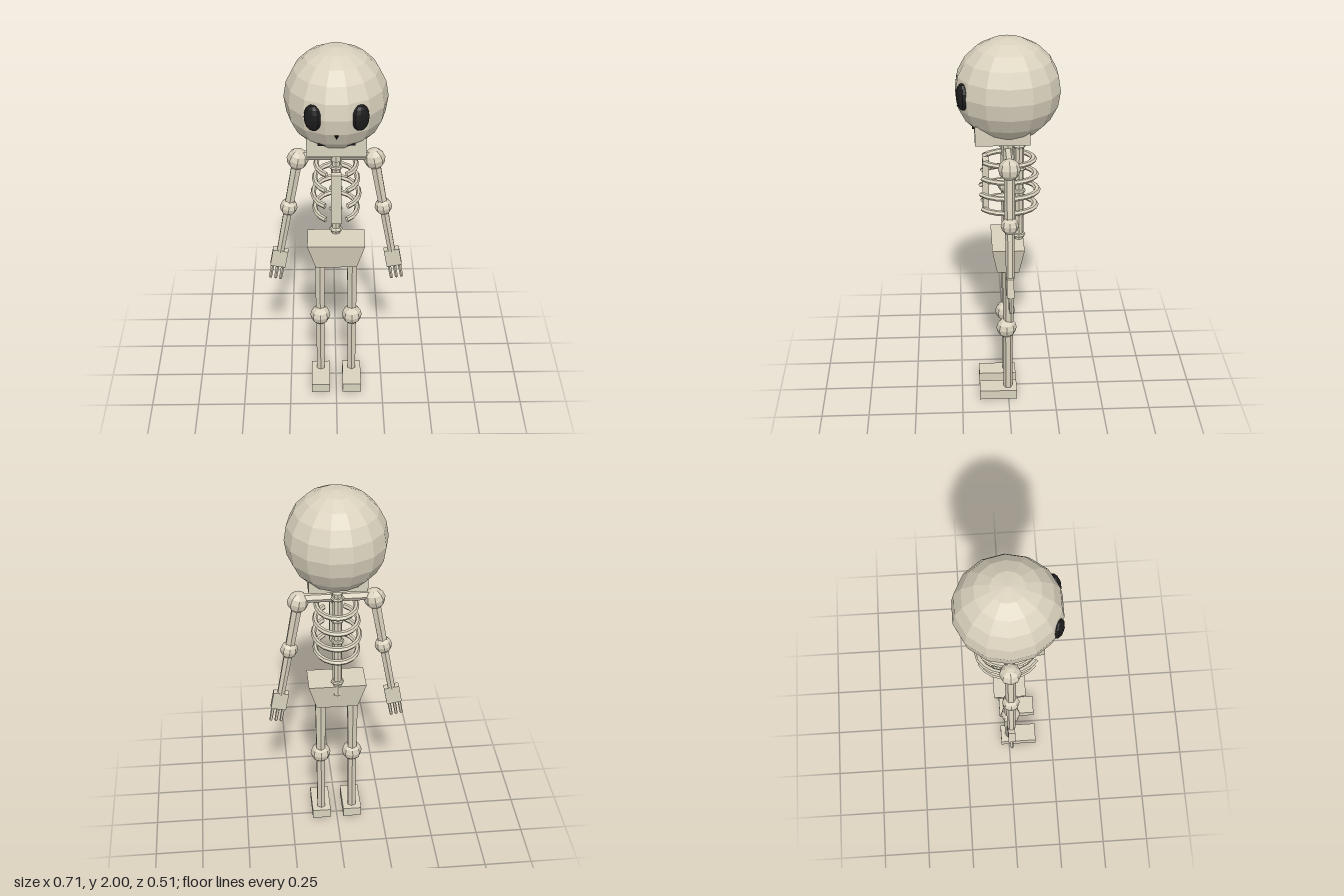
import * as THREE from 'three';

export function createModel() {
  const root = new THREE.Group();
  root.name = 'skeleton';
  const bone = new THREE.MeshStandardMaterial({ color: 0xd9d1bd, flatShading: true, side: THREE.DoubleSide });
  bone.name = 'bone';
  const dark = new THREE.MeshStandardMaterial({ color: 0x1c1c1c, flatShading: true });
  dark.name = 'dark socket';

  const add = (parent, name, geometry, x, y, z, material = bone) => {
    const mesh = new THREE.Mesh(geometry, material);
    mesh.name = name;
    mesh.position.set(x, y, z);
    parent.add(mesh);
    return mesh;
  };
  const box = (w, h, d) => new THREE.BoxGeometry(w, h, d);
  const rod = (top, bottom, length, sides = 6) => new THREE.CylinderGeometry(top, bottom, length, sides);
  const ball = (r, w = 8, h = 6) => new THREE.SphereGeometry(r, w, h);
  const group = (name, parent = root) => {
    const g = new THREE.Group();
    g.name = name;
    parent.add(g);
    return g;
  };

  // Head: faceted skull, block jaw and dark face details
  const head = group('head');
  add(head, 'skull', ball(1, 14, 10).scale(0.253, 0.257, 0.262), 0, 1.743, 0);
  add(head, 'jaw', box(0.29, 0.1, 0.27), 0, 1.55, 0.03);
  for (const s of [1, -1]) {
    const eye = add(head, s > 0 ? 'leftEye' : 'rightEye', ball(1, 10, 8).scale(0.046, 0.068, 0.028), s * 0.112, 1.744, 0.222, dark);
    eye.rotation.y = s * 0.45;
  }
  add(head, 'nose', new THREE.ConeGeometry(0.012, 0.022, 4).rotateX(Math.PI), 0, 1.648, 0.238, dark);
  add(head, 'mouth', box(0.18, 0.012, 0.015), 0, 1.574, 0.169, dark);

  // Torso: neck, spine with vertebrae, collarbone, sternum
  const torso = group('torso');
  add(torso, 'neck', rod(0.032, 0.032, 0.13, 8), 0, 1.455, 0);
  add(torso, 'spine', rod(0.024, 0.024, 0.61, 8), 0, 1.165, -0.057);
  for (let i = 0; i < 5; i++) {
    add(torso, 'vertebra', ball(1).scale(0.035, 0.018, 0.035), 0, 0.94 + i * 0.125, -0.057);
  }
  add(torso, 'collarbone', rod(0.025, 0.025, 0.38).rotateZ(Math.PI / 2), 0, 1.415, 0);
  add(torso, 'sternum', box(0.052, 0.28, 0.032), 0, 1.23, 0.111);

  // Ribs: hoops left open at the front
  const gap = 0.5;
  [0.1, 0.108, 0.116, 0.108].forEach((r, i) => {
    const hoop = new THREE.TorusGeometry(r, 0.0135, 6, 16, Math.PI * 2 - gap * 2)
      .rotateZ(Math.PI / 2 + gap).rotateX(Math.PI / 2).scale(1, 1, 1.3);
    add(torso, 'rib', hoop, 0, 1.368 - i * 0.085, 0);
  });

  // Pelvis: box narrowed toward its underside
  const pelvis = box(0.298, 0.147, 0.165);
  const p = pelvis.attributes.position;
  for (let i = 0; i < p.count; i++) {
    if (p.getY(i) < 0) p.setXYZ(i, p.getX(i) * 0.72, p.getY(i), p.getZ(i) * 0.68);
  }
  add(torso, 'pelvis', pelvis, 0, 0.846, 0.002);

  for (const s of [1, -1]) {
    const side = s > 0 ? 'left' : 'right';

    // Arm: hangs along its own -y axis and swings outward from the shoulder
    const arm = group(side + 'Arm');
    arm.position.set(s * 0.191, 1.395, 0);
    arm.rotation.z = s * 0.177;
    add(arm, 'shoulder', ball(0.055), 0, 0, 0);
    add(arm, 'upperArm', rod(0.028, 0.025, 0.285), 0, -0.143, 0);
    add(arm, 'elbow', ball(0.045), 0, -0.286, 0);
    add(arm, 'forearm', rod(0.024, 0.021, 0.29), 0, -0.42, 0);
    add(arm, 'hand', box(0.08, 0.1, 0.036), 0, -0.604, 0);
    for (const f of [-1, 0, 1]) {
      add(arm, 'finger', rod(0.01, 0.008, 0.09, 5), f * 0.027, -0.694, 0);
    }

    // Leg
    const leg = group(side + 'Leg');
    leg.position.x = s * 0.085;
    add(leg, 'thigh', rod(0.031, 0.026, 0.37), 0, 0.61, 0);
    add(leg, 'knee', ball(0.054), 0, 0.427, 0.01);
    add(leg, 'shin', rod(0.026, 0.024, 0.38), 0, 0.235, 0.002);
    add(leg, 'foot', box(0.1, 0.053, 0.2), 0, 0.0265, 0.055);
  }
  return root;
}
